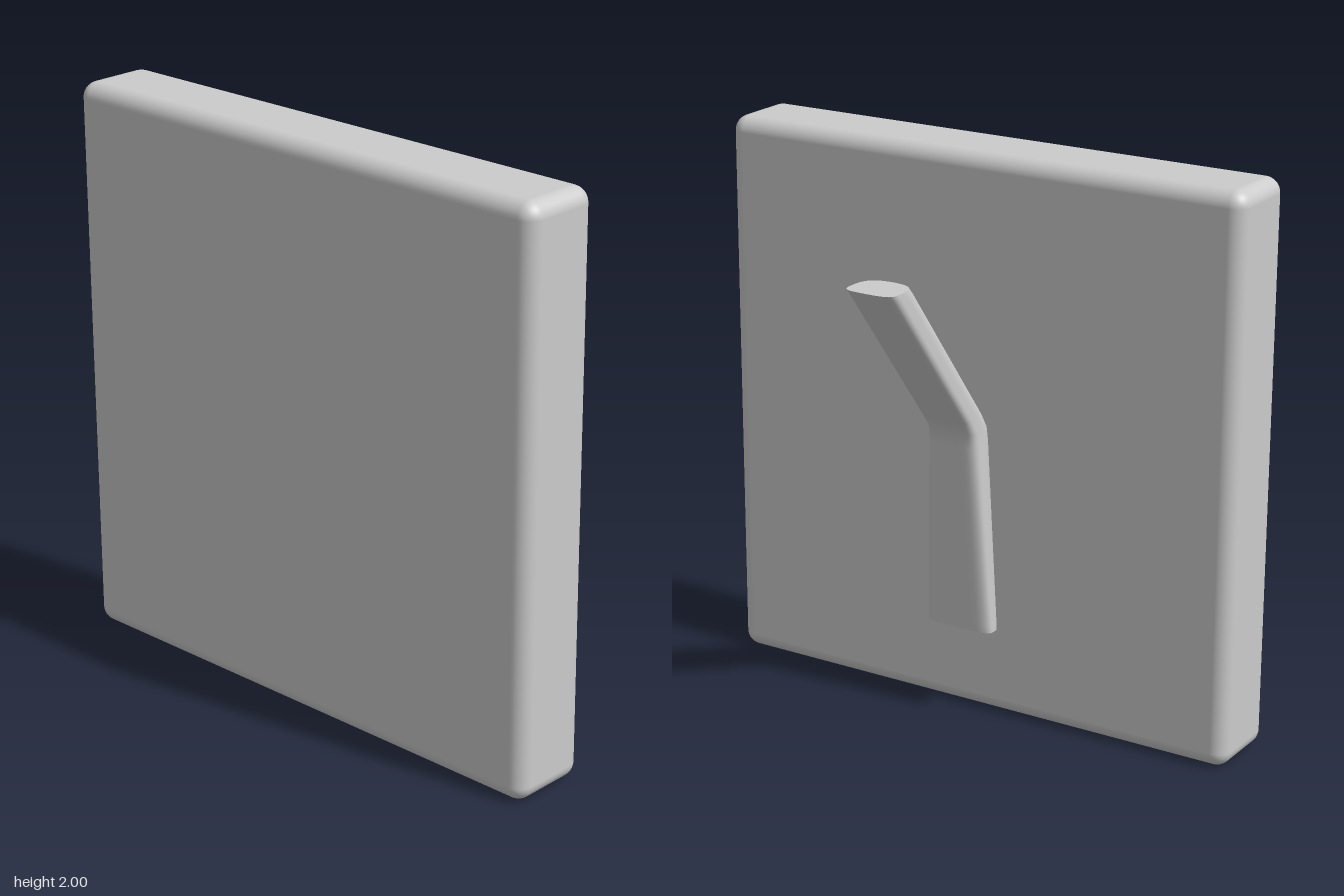
import * as THREE from 'three';
import { RoundedBoxGeometry } from 'three/addons/geometries/RoundedBoxGeometry.js';

const material = new THREE.MeshStandardMaterial({ color: 0xcccccc });

// Unit outline of the leg seen from above: x -1..1, y 0 (back) .. 1 (front, rounder)
function legOutline() {
  const s = new THREE.Shape();
  s.moveTo(-0.6, 0.02);
  s.quadraticCurveTo(0, -0.02, 0.6, 0.02);
  s.quadraticCurveTo(1, 0.04, 1, 0.28);
  s.lineTo(1, 0.5);
  s.quadraticCurveTo(0.96, 0.88, 0.5, 0.96);
  s.quadraticCurveTo(0, 1.04, -0.5, 0.96);
  s.quadraticCurveTo(-0.96, 0.88, -1, 0.5);
  s.lineTo(-1, 0.28);
  s.quadraticCurveTo(-1, 0.04, -0.6, 0.02);
  const points = s.getPoints(8);
  points.pop();
  return points;
}

// Loft of horizontal sections [y, back z, front z, half width], with flat caps
function loft(outline, sections) {
  const n = outline.length, pos = [], index = [];
  const addRing = ([y, back, front, half]) => {
    for (const p of outline) pos.push(p.x * half, y, back + (front - back) * p.y);
  };
  sections.forEach(addRing);
  for (let i = 0; i < sections.length - 1; i++) {
    for (let j = 0; j < n; j++) {
      const a = i * n + j, b = i * n + (j + 1) % n;
      index.push(b, a, a + n, b, a + n, b + n);
    }
  }
  // caps have their own vertices, so their rims stay sharp
  for (const top of [false, true]) {
    const s = top ? sections[sections.length - 1] : sections[0];
    const start = pos.length / 3;
    addRing(s);
    pos.push(0, s[0], (s[1] + s[2]) / 2);
    for (let j = 0; j < n; j++) {
      const a = start + j, b = start + (j + 1) % n;
      index.push(start + n, ...(top ? [b, a] : [a, b]));
    }
  }
  const g = new THREE.BufferGeometry();
  g.setAttribute('position', new THREE.Float32BufferAttribute(pos, 3));
  g.setIndex(index);
  g.computeVertexNormals();
  return g;
}

export function createModel() {
  const group = new THREE.Group();

  // Square slab with softened edges
  const panel = new THREE.Mesh(new RoundedBoxGeometry(2, 2, 0.298, 5, 0.055), material);
  panel.name = 'panel';
  panel.position.set(0, 1, 0.319);
  group.add(panel);

  // Bent leg behind the slab: tapered lower half, sloping upper half
  const leg = new THREE.Mesh(loft(legOutline(), [
    [0.335, 0.075, 0.165, 0.13],
    [0.36, 0.073, 0.165, 0.13],
    [1.02, 0.026, 0.165, 0.098],
    [1.07, 0.018, 0.16, 0.095],
    [1.12, -0.018, 0.13, 0.095],
    [1.65, -0.445, -0.288, 0.095],
    [1.675, -0.466, -0.31, 0.094],
  ]), material);
  leg.name = 'supportLeg';
  group.add(leg);

  return group;
}
